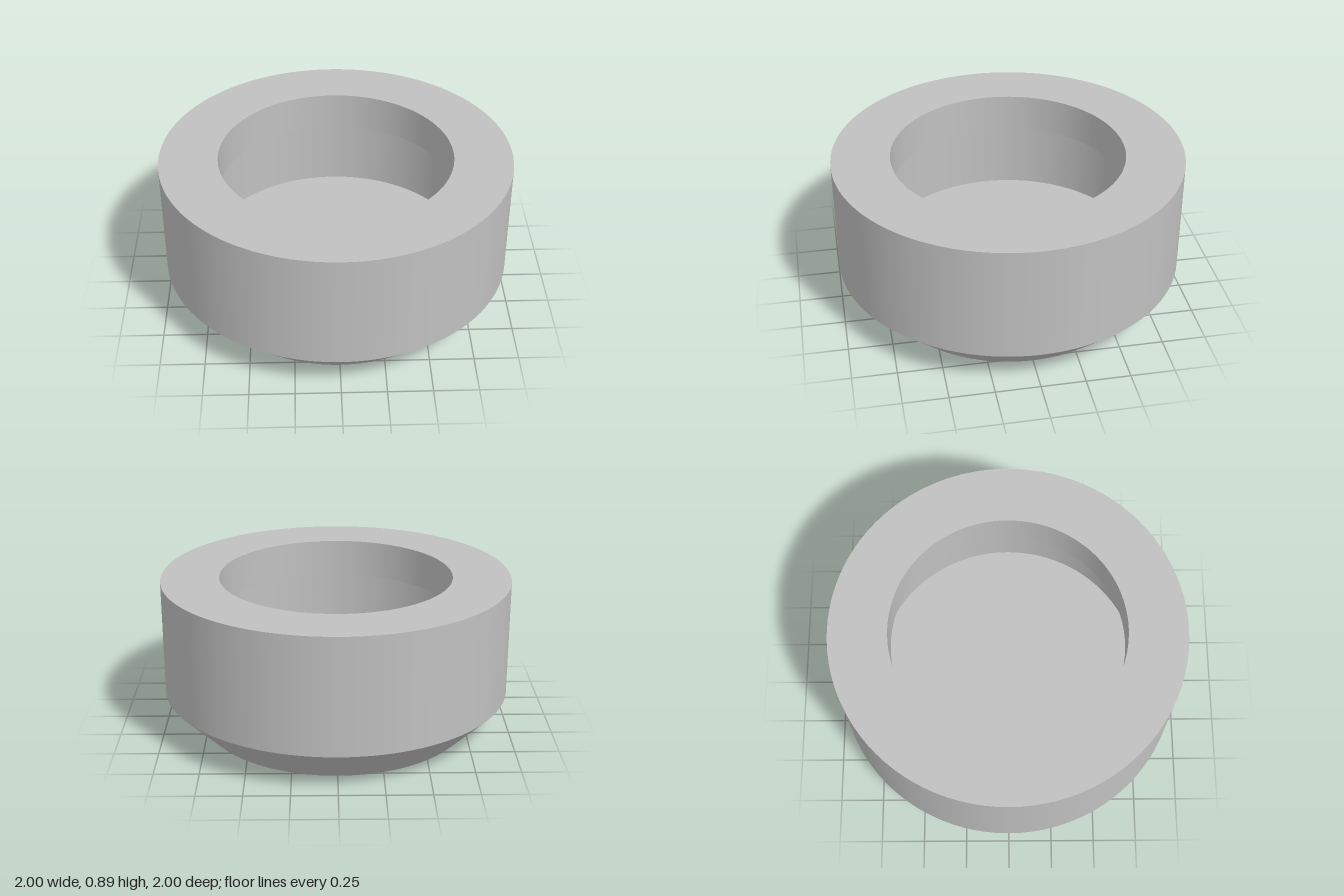
import * as THREE from 'three';
import { mergeGeometries } from 'three/addons/utils/BufferGeometryUtils.js';

// Revolve each profile segment on its own so the corners stay sharp
function sharpLathe(profile, segments = 96) {
  const bands = [];
  for (let i = 0; i < profile.length - 1; i++) {
    const pair = [profile[i], profile[i + 1]].map(([r, y]) => new THREE.Vector2(r, y));
    bands.push(new THREE.LatheGeometry(pair, segments));
  }
  return mergeGeometries(bands);
}

export function createModel() {
  const group = new THREE.Group();
  group.name = 'roundCup';

  const grey = new THREE.MeshStandardMaterial({ color: 0xc0c0c0 });
  grey.name = 'grey';

  // Outer shell: flat base, chamfer, straight wall and flat rim
  const shell = new THREE.Mesh(sharpLathe([
    [0, 0], [0.778, 0], [1, 0.222], [1, 0.889], [0.667, 0.889],
  ]), grey);
  shell.name = 'outerShell';

  // Cavity: overhanging lip, wider undercut wall and flat floor
  const cavity = new THREE.Mesh(sharpLathe([
    [0.667, 0.889], [0.667, 0.667], [0.778, 0.667], [0.778, 0.222], [0, 0.222],
  ]), grey);
  cavity.name = 'cavity';

  group.add(shell, cavity);
  return group;
}
